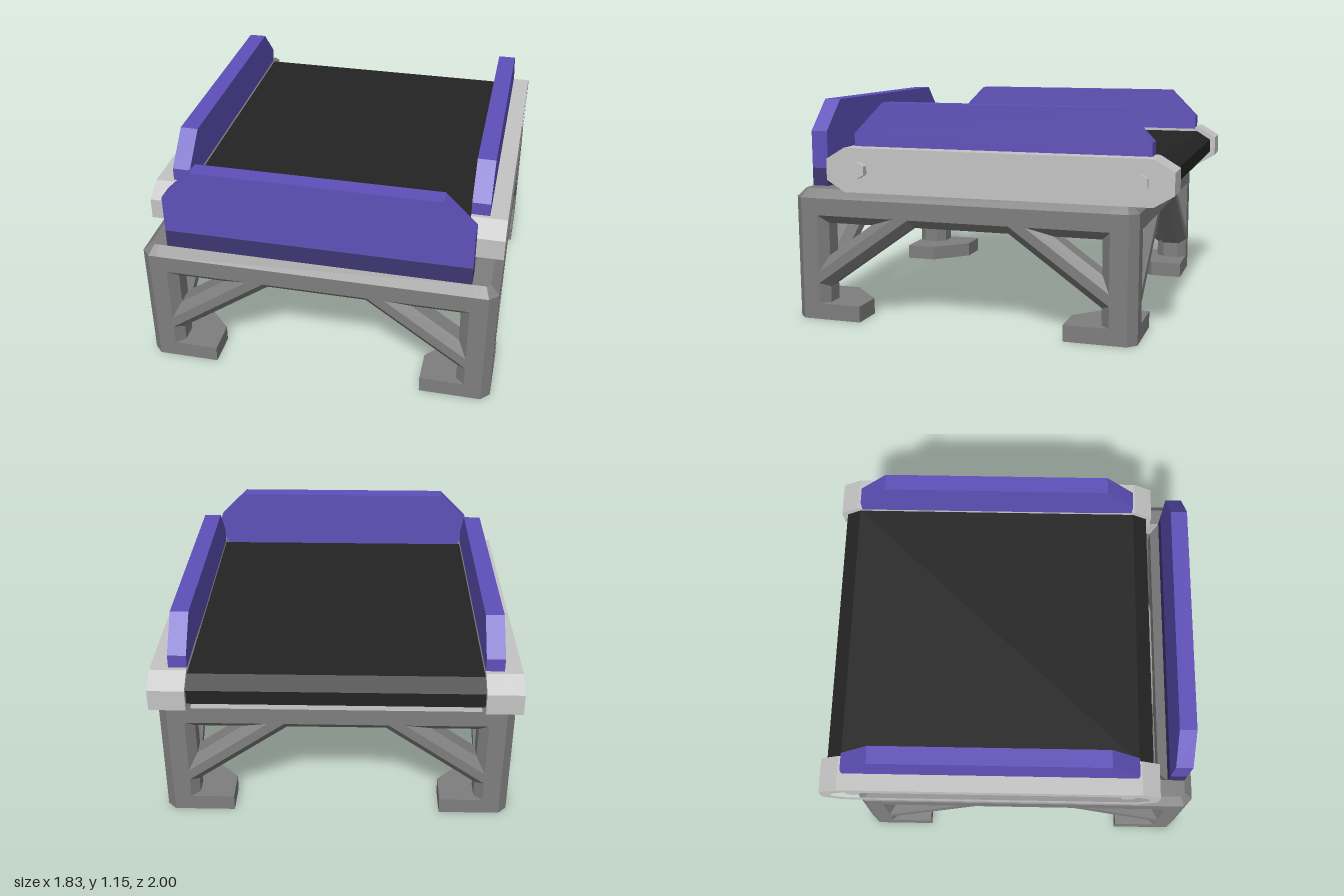
import * as THREE from 'three';
import { ConvexGeometry } from 'three/addons/geometries/ConvexGeometry.js';

const mat = (name, color) => new THREE.MeshStandardMaterial({ name, color });

function polygon(points) {
  return new THREE.Shape(points.map(([a, b]) => new THREE.Vector2(a, b)));
}

function add(group, name, geometry, material) {
  const mesh = new THREE.Mesh(geometry, material);
  mesh.name = name;
  group.add(mesh);
  return mesh;
}

// Corners of a rectangle with its corners cut off
function octagon(w, h, c) {
  const x = w / 2, y = h / 2;
  return [[x, y - c], [x - c, y], [c - x, y], [-x, y - c], [-x, c - y], [c - x, -y], [x - c, -y], [x, c - y]];
}

// Chamfered bar between two points of the plane at depth z
function bar([x0, y0], [x1, y1], z, w, h, c) {
  const length = Math.hypot(x1 - x0, y1 - y0);
  return new THREE.ExtrudeGeometry(polygon(octagon(w, h, c)), { depth: length, bevelEnabled: false })
    .rotateY(Math.PI / 2)
    .rotateZ(Math.atan2(y1 - y0, x1 - x0))
    .translate(x0, y0, z);
}

// Side profile of [z, y] points, extruded along x from x0 to x1
function sideSlab(points, x0, x1, hole) {
  const flip = (list) => list.map(([z, y]) => [-z, y]);
  const shape = polygon(flip(points));
  if (hole) shape.holes.push(polygon(flip(hole)));
  return new THREE.ExtrudeGeometry(shape, { depth: x1 - x0, bevelEnabled: false })
    .rotateY(Math.PI / 2)
    .translate(x0, 0, 0);
}

// Long profile with cut ends
function longOctagon(z0, z1, y0, y1, cz, cy) {
  return [[z0, y0 + cy], [z0 + cz, y0], [z1 - cz, y0], [z1, y0 + cy],
    [z1, y1 - cy], [z1 - cz, y1], [z0 + cz, y1], [z0, y1 - cy]];
}

export function createModel() {
  const model = new THREE.Group();
  model.name = 'conveyor';
  const steel = mat('frame grey', 0x7e7e7e);
  const railGrey = mat('rail light grey', 0xc4c4c4);
  const beltBlack = mat('belt black', 0x232323);
  const purple = mat('panel purple', 0x5f50ba);
  const darkPurple = mat('panel base dark purple', 0x3d3672);

  // Square support frame: one corner and one side, repeated four times
  const frame = new THREE.Group();
  frame.name = 'frame';
  frame.position.z = 0.085;
  model.add(frame);
  const H = 0.915, C = 0.045, T = 0.18, M = H - T / 2;
  for (let i = 0; i < 4; i++) {
    const side = new THREE.Group();
    side.name = 'frameSide';
    side.rotation.y = i * Math.PI / 2;
    frame.add(side);

    add(side, 'topBeam', bar([-M, 0.605], [M, 0.605], M, T, T, C), steel);
    for (const s of [-1, 1]) {
      const ends = [[s * 0.825, 0.193], [s * 0.28, 0.582]];
      if (s > 0) ends.reverse();
      add(side, 'brace', bar(ends[0], ends[1], M, T, 0.135, 0.043), steel);
    }

    // Leg with a bevelled top
    const ring = (size, cut, y) => octagon(size, size, cut).map(([x, z]) => new THREE.Vector3(M + x, y, M + z));
    add(side, 'leg', new ConvexGeometry([...ring(T, C, 0), ...ring(T, C, 0.65), ...ring(T - 2 * C, 0.02, 0.695)]), steel);

    // Foot reaching inwards from the corner
    const foot = polygon([[C, 0], [0.365, 0], [0.365, T], [T, 0.365], [0, 0.365], [0, C]]);
    add(side, 'foot', new THREE.ExtrudeGeometry(foot, { depth: 0.085, bevelEnabled: false })
      .rotateX(-Math.PI / 2).rotateY(Math.PI / 2).translate(H, 0, H).applyMatrix4(
        new THREE.Matrix4().makeTranslation(0, 0, 0)), steel);
  }

  // Belt between the rails
  add(model, 'belt', sideSlab(longOctagon(-0.97, 0.77, 0.72, 0.895, 0.08, 0.05), -0.735, 0.735), beltBlack);

  // Rails with a recessed slot, axle bolts and side guards
  const railOutline = longOctagon(-1, 0.8, 0.69, 0.92, 0.1, 0.06);
  const slot = longOctagon(-0.945, 0.75, 0.74, 0.865, 0.07, 0.042);
  const guard = [[0.68, 0.91], [0.68, 0.987], [0.522, 1.147], [-0.718, 1.147], [-0.876, 0.987], [-0.876, 0.91]];
  const span = (s, a, b) => (s > 0 ? [a, b] : [-b, -a]);
  for (const s of [-1, 1]) {
    add(model, 'rail', sideSlab(railOutline, ...span(s, 0.732, 0.87)), railGrey);
    add(model, 'railRim', sideSlab(railOutline, ...span(s, 0.87, 0.915), slot), railGrey);
    for (const z of [0.635, -0.83]) {
      add(model, 'axleBolt', new THREE.CylinderGeometry(0.044, 0.044, 0.06, 6).toNonIndexed()
        .rotateY(Math.PI / 6).rotateZ(Math.PI / 2).translate(s * 0.875, 0.803, z), railGrey)
        .geometry.computeVertexNormals();
    }
    add(model, 'sideGuard', sideSlab(guard, ...span(s, 0.732, 0.825)), purple);
  }

  // End guard with a darker base
  const endGuard = polygon([[-0.78, 0.79], [0.78, 0.79], [0.78, 0.987], [0.62, 1.147], [-0.62, 1.147], [-0.78, 0.987]]);
  add(model, 'endGuard', new THREE.ExtrudeGeometry(endGuard, { depth: 0.09, bevelEnabled: false })
    .translate(0, 0, 0.865), purple);
  add(model, 'endGuardBase', new THREE.BoxGeometry(1.56, 0.1, 0.09).translate(0, 0.74, 0.91), darkPurple);
  return model;
}
